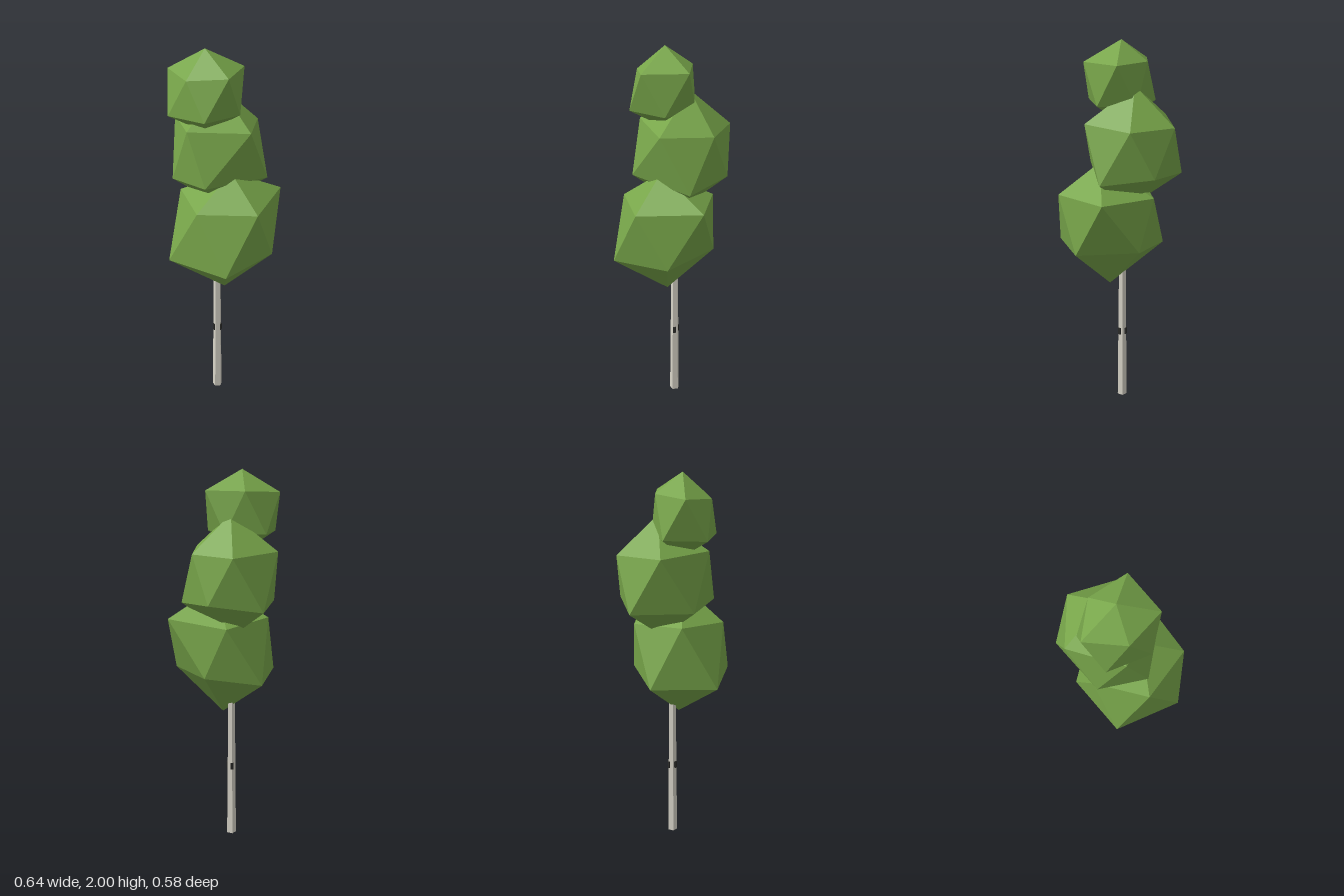
import * as THREE from 'three';

// Faceted 20-sided crown built from a top point, two rings of five and a bottom point
function crown(name, material, top, upper, lower, bottom) {
  const positions = [];
  const tri = (...corners) => corners.forEach((p) => positions.push(...p));
  for (let i = 0; i < 5; i++) {
    const j = (i + 1) % 5;
    tri(top, upper[j], upper[i]);
    tri(upper[i], upper[j], lower[i]);
    tri(lower[i], upper[j], lower[j]);
    tri(bottom, lower[i], lower[j]);
  }
  const geometry = new THREE.BufferGeometry();
  geometry.setAttribute('position', new THREE.Float32BufferAttribute(positions, 3));
  geometry.computeVertexNormals();
  const mesh = new THREE.Mesh(geometry, material);
  mesh.name = name;
  return mesh;
}

export function createModel() {
  const leaf = new THREE.MeshStandardMaterial({ color: 0x78a64a, flatShading: true });
  leaf.name = 'leafGreen';
  const bark = new THREE.MeshStandardMaterial({ color: 0xd8d4c8, flatShading: true });
  bark.name = 'paleBark';
  const dark = new THREE.MeshStandardMaterial({ color: 0x2a2a28, flatShading: true });
  dark.name = 'darkBark';

  const tree = new THREE.Group();
  tree.name = 'tree';

  // Slim five-sided trunk, tapering into the lowest crown
  const trunkX = -0.018;
  const trunk = new THREE.Mesh(
    new THREE.CylinderGeometry(0.018, 0.027, 0.95, 5, 1, false, THREE.MathUtils.degToRad(26)), bark);
  trunk.name = 'trunk';
  trunk.position.set(trunkX, 0.475, 0);
  tree.add(trunk);

  // Three dark bark marks around the trunk
  for (let i = 0; i < 3; i++) {
    const angle = (i * Math.PI * 2) / 3;
    const mark = new THREE.Mesh(new THREE.BoxGeometry(0.016, 0.038, 0.009), dark);
    mark.name = 'barkMark';
    mark.position.set(trunkX + Math.sin(angle) * 0.02, 0.411, Math.cos(angle) * 0.02);
    mark.rotation.y = angle;
    tree.add(mark);
  }

  // Three stacked crowns, rings listed clockwise from +x as seen from above
  tree.add(crown('lowerCrown', leaf, [0.1, 1.395, 0],
    [[0.32, 1.235, -0.005], [0.125, 1.23, 0.225], [-0.15, 1.25, 0.14], [-0.15, 1.23, -0.15], [0.145, 1.255, -0.292]],
    [[0.293, 0.925, 0.168], [-0.043, 0.92, 0.29], [-0.245, 0.925, 0.01], [-0.06, 0.965, -0.22], [0.258, 0.95, -0.155]],
    [0.05, 0.71, 0]));
  tree.add(crown('middleCrown', leaf, [-0.07, 1.79, -0.05],
    [[0.187, 1.61, -0.057], [0.01, 1.62, 0.2], [-0.265, 1.61, 0.09], [-0.24, 1.6, -0.187], [-0.003, 1.6, -0.246]],
    [[0.12, 1.35, 0.17], [-0.13, 1.33, 0.2], [-0.32, 1.33, -0.057], [-0.128, 1.36, -0.25], [0.14, 1.33, -0.205]],
    [-0.06, 1.16, -0.03]));
  tree.add(crown('upperCrown', leaf, [-0.025, 2, 0.065],
    [[0.168, 1.895, 0.065], [0.02, 1.875, 0.205], [-0.183, 1.89, 0.178], [-0.14, 1.9, -0.02], [0.037, 1.9, -0.125]],
    [[0.125, 1.69, 0.175], [-0.085, 1.685, 0.245], [-0.205, 1.69, 0.065], [-0.07, 1.69, -0.09], [0.12, 1.69, -0.04]],
    [-0.03, 1.58, 0.06]));

  return tree;
}
